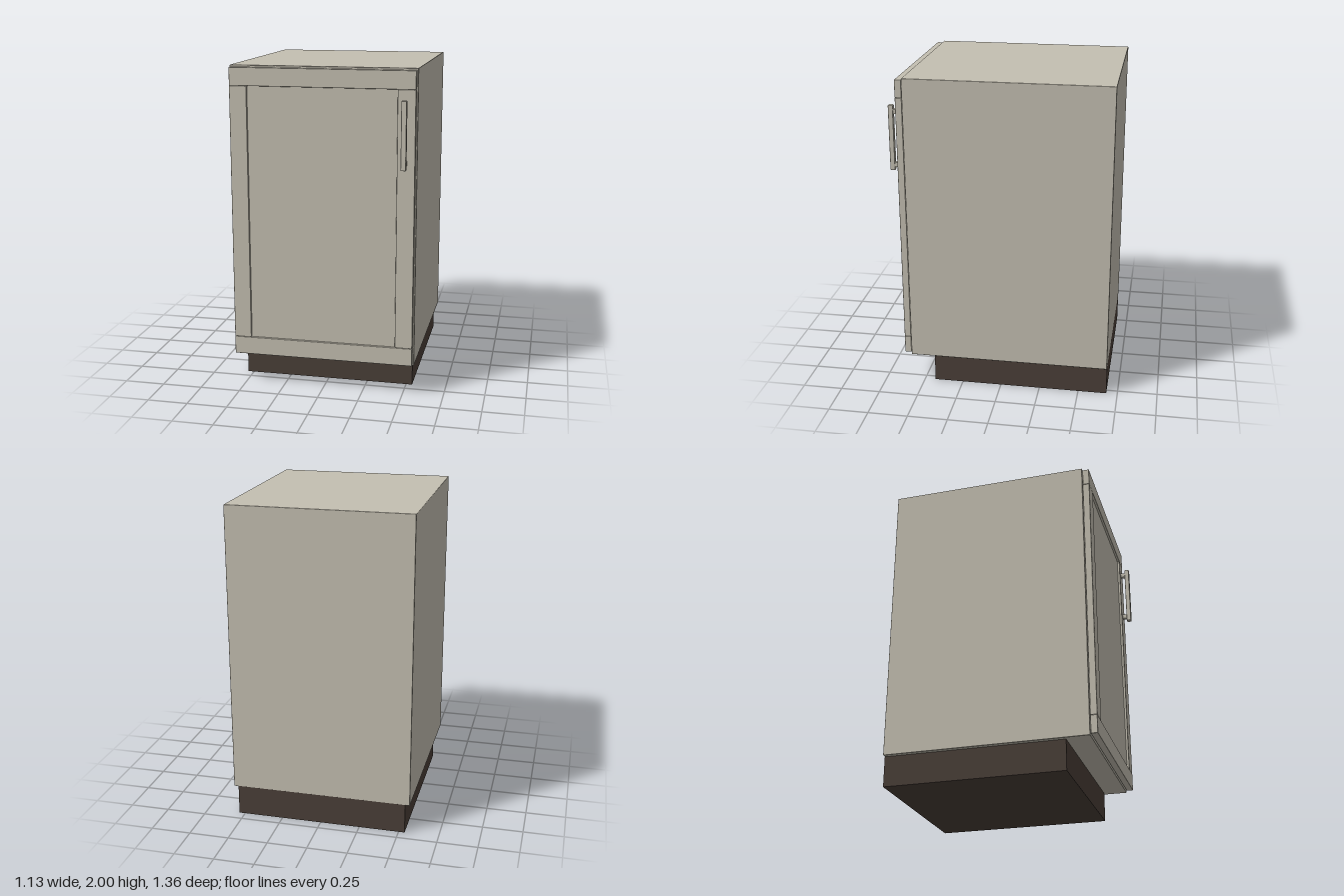
import * as THREE from 'three';
import { RoundedBoxGeometry } from 'three/addons/geometries/RoundedBoxGeometry.js';

export function createModel() {
  const group = new THREE.Group();
  const paint = new THREE.MeshStandardMaterial({ name: 'warm grey paint', color: 0xc4bfb1 });
  const dark = new THREE.MeshStandardMaterial({ name: 'dark brown plinth', color: 0x4a3f38 });

  // Box given by its limits on each axis, with an optional small edge radius
  function box(name, [x0, x1], [y0, y1], [z0, z1], material = paint, radius = 0) {
    const size = [x1 - x0, y1 - y0, z1 - z0];
    const geometry = radius
      ? new RoundedBoxGeometry(...size, 2, radius)
      : new THREE.BoxGeometry(...size);
    const mesh = new THREE.Mesh(geometry, material);
    mesh.name = name;
    mesh.position.set((x0 + x1) / 2, (y0 + y1) / 2, (z0 + z1) / 2);
    group.add(mesh);
    return mesh;
  }

  // Carcass on a recessed plinth
  box('carcass', [-0.567, 0.567], [0.187, 2], [-0.68, 0.578], paint, 0.004);
  box('plinth', [-0.538, 0.538], [0, 0.19], [-0.68, 0.432], dark);

  // Framed door: rails, stiles and a recessed centre panel
  const doorZ = [0.58, 0.622];
  box('topRail', [-0.56, 0.56], [1.88, 1.99], doorZ, paint, 0.004);
  box('bottomRail', [-0.56, 0.56], [0.198, 0.31], doorZ, paint, 0.004);
  box('rightStile', [-0.56, -0.453], [0.31, 1.88], doorZ, paint, 0.004);
  box('leftStile', [0.453, 0.56], [0.31, 1.88], doorZ, paint, 0.004);
  box('doorPanel', [-0.46, 0.46], [0.3, 1.89], [0.583, 0.607]);

  // Bar handle on two posts
  box('handleBar', [0.483, 0.515], [1.416, 1.822], [0.649, 0.68], paint, 0.005);
  for (const y of [1.452, 1.784]) {
    box('handlePost', [0.486, 0.512], [y - 0.014, y + 0.014], [0.615, 0.655]);
  }

  return group;
}
